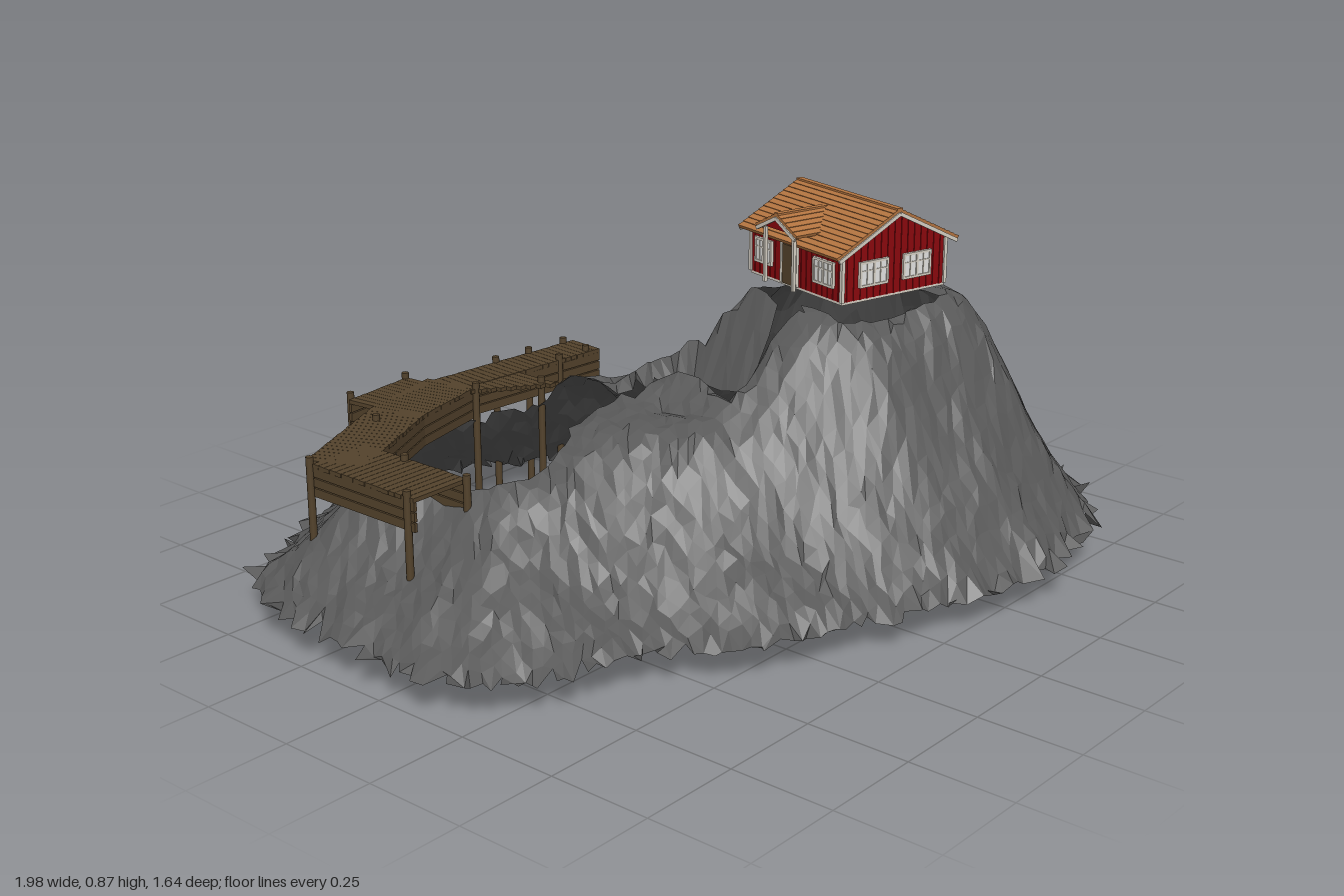
import * as THREE from 'three';
import { mergeGeometries } from 'three/addons/utils/BufferGeometryUtils.js';

const mat = (name, color, extra = {}) => {
  const m = new THREE.MeshStandardMaterial({ color, ...extra });
  m.name = name;
  return m;
};

let seed = 7;
const rand = () => (seed = (seed * 16807) % 2147483647) / 2147483647;
const clamp01 = v => Math.min(1, Math.max(0, v));

// Box with its centre, turned about z (roll) then y (yaw)
function box(w, h, d, x, y, z, yaw = 0, roll = 0) {
  return new THREE.BoxGeometry(w, h, d).rotateZ(roll).rotateY(yaw).translate(x, y, z);
}

function add(group, name, material, geos) {
  const mesh = new THREE.Mesh(Array.isArray(geos) ? mergeGeometries(geos) : geos, material);
  mesh.name = name;
  group.add(mesh);
}

// Piecewise linear curve through [input, output] pairs
function lerpTable(table, v) {
  if (v <= table[0][0]) return table[0][1];
  for (let i = 1; i < table.length; i++) {
    const [a, p] = table[i - 1], [b, q] = table[i];
    if (v <= b) return p + (q - p) * (v - a) / (b - a);
  }
  return table[table.length - 1][1];
}

// Plan outlines (x, z): shoreline, cove, terrace and the opening for house and terrace
const SHORE = [[-.985, .1], [-.975, -.13], [-.95, -.4], [-.88, -.57], [-.72, -.65], [-.56, -.73], [-.34, -.81],
  [-.18, -.77], [-.02, -.68], [.25, -.54], [.46, -.4], [.65, -.34], [.81, -.25], [.89, -.13], [.965, .1],
  [.94, .35], [.86, .57], [.67, .74], [.37, .81], [.08, .75], [-.13, .66], [-.4, .55], [-.56, .4], [-.8, .32], [-.93, .22]];
const COVE = [[-.63, -.19], [-.62, -.34], [-.51, -.46], [-.4, -.51], [-.2, -.55], [-.03, -.44], [-.06, -.27],
  [-.1, -.1], [-.24, -.1], [-.37, -.05], [-.48, -.02], [-.57, -.06]];
const TERRACE = [[-.05, -.19], [.17, -.12], [.14, .07], [-.01, .14], [.05, -.06], [-.09, -.1]];
const OPENING = [[-.05, -.19], [.17, -.12], [.14, .07], [.236, .095], [.265, -.02], [.565, .06], [.475, .4],
  [.175, .32], [.21, .2], [-.01, .14], [.05, -.06], [-.09, -.1]];

function inside(poly, x, z) {
  let hit = false;
  poly.forEach(([ax, az], i) => {
    const [bx, bz] = poly[(i + 1) % poly.length];
    if ((az > z) !== (bz > z) && x < ax + (bx - ax) * (z - az) / (bz - az)) hit = !hit;
  });
  return hit;
}

function nearest(poly, x, z) {
  let best = { d: Infinity };
  poly.forEach(([ax, az], i) => {
    const [bx, bz] = poly[(i + 1) % poly.length], ux = bx - ax, uz = bz - az;
    const t = clamp01(((x - ax) * ux + (z - az) * uz) / (ux * ux + uz * uz));
    const px = ax + ux * t, pz = az + uz * t, d = Math.hypot(x - px, z - pz);
    if (d < best.d) best = { d, x: px, z: pz };
  });
  return best;
}

const BASE = [[-1, .33], [-.6, .34], [-.35, .39], [-.15, .425], [0, .42]];
const SLOPE = [[0, 0], [.1, .18], [.2, .4], [.3, .67], [.35, .83], [.4, .95], [.46, 1]];

// Height climbs from the shore to a low ridge and a flat hilltop at +x; steeper to the east and north
function height(x, z) {
  const low = lerpTable(BASE, x);
  const r = Math.hypot(Math.min(x - .3, 0), Math.min(z - .07, 0));
  const top = low + (.625 - low) * clamp01((.42 - r) / .3);
  const steep = 1 + .38 * Math.max(clamp01((x - .35) / .3), clamp01((-z - .2) / .2));
  const h = .075 + (top - .075) * lerpTable(SLOPE, nearest(SHORE, x, z).d * steep);
  return Math.min(h, .39 + 2.2 * nearest(TERRACE, x, z).d);
}

// Rock surface: a grid whose vertices snap to the shore and hole edges
function rockGeometry() {
  const cell = .03, nx = 69, nz = 59, pos = [], index = [];
  for (let j = 0; j < nz; j++) for (let i = 0; i < nx; i++) {
    let x = (i - (nx - 1) / 2) * cell + (rand() - .5) * .016;
    let z = (j - (nz - 1) / 2) * cell + (rand() - .5) * .016;
    const shore = nearest(SHORE, x, z);
    if (shore.d < cell * .65) {
      const k = 1 + (rand() - .5) * .05;
      pos.push(shore.x * k, .075 + (rand() - .6) * .025, shore.z * k);
      continue;
    }
    for (const hole of [COVE, OPENING]) {
      const p = nearest(hole, x, z);
      if (p.d < cell * .6) { x = p.x; z = p.z; }
    }
    const rough = .008 * Math.sin(x * 17 + z * 9) * Math.sin(z * 21 - x * 6) + (rand() - .5) * .012;
    pos.push(x, Math.min(height(x, z) + rough, .628), z);
  }
  const tri = (...v) => {
    const x = (pos[v[0] * 3] + pos[v[1] * 3] + pos[v[2] * 3]) / 3;
    const z = (pos[v[0] * 3 + 2] + pos[v[1] * 3 + 2] + pos[v[2] * 3 + 2]) / 3;
    if (inside(SHORE, x, z) && !inside(COVE, x, z) && !inside(OPENING, x, z)) index.push(...v);
  };
  for (let j = 0; j < nz - 1; j++) for (let i = 0; i < nx - 1; i++) {
    const a = j * nx + i, b = a + nx;
    tri(a, b, a + 1);
    tri(a + 1, b, b + 1);
  }
  const geo = new THREE.BufferGeometry();
  geo.setAttribute('position', new THREE.Float32BufferAttribute(pos, 3));
  geo.setIndex(index);
  const flat = geo.toNonIndexed();
  flat.computeVertexNormals();
  return flat;
}

// Boardwalk on posts around the cove
function boardwalk(wood) {
  const group = new THREE.Group(), planks = [], slats = [];
  group.name = 'boardwalk';
  const run = (ax, az, bx, bz, w) => {
    const len = Math.hypot(bx - ax, bz - az), yaw = -Math.atan2(bz - az, bx - ax), n = Math.round(len / .02);
    for (let i = 0; i < n; i++) {
      const t = (i + .5) / n;
      planks.push(box(len / n - .001, .01, w + rand() * .006, ax + (bx - ax) * t, .355, az + (bz - az) * t, yaw));
    }
    for (const s of [-1, 1]) for (let k = 0; k < 3; k++) {
      slats.push(box(len, .021, .008, (ax + bx) / 2 + s * Math.sin(yaw) * w * .47, .339 - k * .024,
        (az + bz) / 2 + s * Math.cos(yaw) * w * .47, yaw));
    }
  };
  run(-.7, -.11, -.7, -.44, .16);
  run(-.745, -.405, -.41, -.56, .14);
  run(-.43, -.555, -.18, -.615, .14);
  run(-.2, -.615, .27, -.575, .1);
  run(-.43, -.67, -.22, -.69, .08);
  // Widening corner landing
  for (let i = 0; i < 9; i++) {
    const x = -.18 + i * .02, end = -.55 + .13 * (i + 1) / 9;
    planks.push(box(.019, .01, end + .6, x, .354, (end - .6) / 2));
  }
  add(group, 'deckPlanks', wood, planks);
  add(group, 'sideSlats', wood, slats);
  const posts = [[-.78, -.13], [-.63, -.1], [-.78, -.45], [-.63, -.3], [-.49, -.55], [-.42, -.72], [-.23, -.73],
    [-.17, -.54], [-.03, -.45], [.01, -.65], [.12, -.64], [.13, -.54], [.24, -.63], [.23, -.54]];
  add(group, 'posts', wood, posts.map(([x, z]) => new THREE.CylinderGeometry(.009, .009, .375, 8).translate(x, .1875, z)));
  return group;
}

// Overlapping tile courses on both slopes of a gable roof, ridge along z
const PITCH = Math.atan(.5);
function tiles(half, len, top, n) {
  const geos = [box(.016, .01, len, 0, top, 0)], step = half / Math.cos(PITCH) / n;
  for (const s of [-1, 1]) for (let i = 0; i < n; i++) {
    const t = (i + .5) * step;
    geos.push(box(step + .006, .008, len, s * t * Math.cos(PITCH), top - t * Math.sin(PITCH), 0, 0, -s * (PITCH - .1)));
  }
  return geos;
}

// Sloping boards under the roof edge at both gable ends
function bargeBoards(half, len, top) {
  const geos = [], l = half / Math.cos(PITCH);
  for (const s of [-1, 1]) for (const e of [-1, 1]) {
    geos.push(box(l, .009, .006, s * half / 2, top - .008 - half * .25, e * (len / 2 - .002), 0, -s * PITCH));
  }
  return geos;
}

function house(m) {
  const group = new THREE.Group(), W = .155, D = .175, B = .665;
  group.name = 'house';
  const shape = new THREE.Shape([[-W, B], [W, B], [W, .782], [0, .858], [-W, .782]].map(p => new THREE.Vector2(...p)));
  add(group, 'walls', m.red, new THREE.ExtrudeGeometry(shape, { depth: D * 2, bevelEnabled: false }).translate(0, 0, -D));
  add(group, 'floor', m.trim, box(W * 2, .006, D * 2, 0, B - .003, 0));

  // Vertical wall battens
  const battens = [];
  for (const s of [-1, 1]) {
    for (let i = -8; i <= 8; i++) battens.push(box(.004, .112, .004, s * W, B + .057, i * .02));
    for (let i = -7; i <= 7; i++) {
      const h = .19 - Math.abs(i) * .01;
      battens.push(box(.004, h, .004, i * .02, B + h / 2, s * D));
    }
  }
  add(group, 'battens', m.red, battens);

  add(group, 'mainRoof', m.tile, tiles(.18, .38, .866, 12));
  const trim = bargeBoards(.178, .385, .866);
  for (const sx of [-1, 1]) for (const sz of [-1, 1]) trim.push(box(.009, .115, .009, sx * W, B + .058, sz * D));

  // Windows: [offset, facing angle, distance of the wall, width]
  const glass = [];
  const windows = [[-.065, 0, D, .08], [.065, 0, D, .08], [-.065, Math.PI, D, .08], [.065, Math.PI, D, .08],
    [-.12, Math.PI / 2, W, .085], [0, Math.PI / 2, W, .085], [.115, Math.PI / 2, W, .085],
    [.11, -Math.PI / 2, W, .07], [-.12, -Math.PI / 2, W, .06]];
  for (const [x, a, wall, w] of windows) {
    const y = .725, h = .056, place = g => g.rotateY(a);
    glass.push(place(box(w, h, .006, x, y, wall + .002)));
    for (const s of [-1, 1]) {
      trim.push(place(box(.006, h + .006, .009, x + s * w / 2, y, wall + .003)));
      trim.push(place(box(w, .006, .009, x, y + s * h / 2, wall + .003)));
      trim.push(place(box(.003, h, .008, x + s * w / 4, y, wall + .003)));
    }
    trim.push(place(box(.006, h, .009, x, y, wall + .003)));
    trim.push(place(box(w, .003, .008, x, y + .008, wall + .003)));
  }
  add(group, 'windowPanes', m.glass, glass);

  // Entrance gable on the -x side with door and porch posts
  const turn = g => g.rotateY(Math.PI / 2).translate(-.125, 0, -.02);
  add(group, 'porchRoof', m.tile, tiles(.075, .15, .84, 5).map(turn));
  trim.push(...bargeBoards(.074, .154, .84).map(turn));
  const gable = new THREE.Shape([[-.06, .8], [.06, .8], [0, .832]].map(p => new THREE.Vector2(...p)));
  add(group, 'porchGable', m.red, turn(new THREE.ExtrudeGeometry(gable, { depth: .12, bevelEnabled: false }).translate(0, 0, -.06)));
  for (const s of [-1, 1]) {
    trim.push(box(.008, .135, .008, -.188, B + .068, -.02 + s * .055));
    trim.push(box(.008, .1, .008, -W - .003, B + .05, -.02 + s * .028));
  }
  add(group, 'door', m.wood, box(.006, .096, .05, -W - .003, B + .048, -.02));
  add(group, 'trim', m.trim, trim);
  group.position.set(.37, 0, .19);
  group.rotation.y = -.258;
  return group;
}

export function createModel() {
  const m = {
    rock: mat('rock grey', 0x595959, { flatShading: true, side: THREE.DoubleSide }),
    wood: mat('weathered wood', 0x54432c),
    red: mat('barn red', 0x8c080e),
    tile: mat('roof tile', 0xb37440),
    trim: mat('trim white', 0xd8d2c6),
    glass: mat('pane white', 0xe8e8e6),
  };
  const model = new THREE.Group();
  model.name = 'islandWithHouse';
  add(model, 'rockyIsland', m.rock, rockGeometry());
  model.add(boardwalk(m.wood), house(m));
  return model;
}
